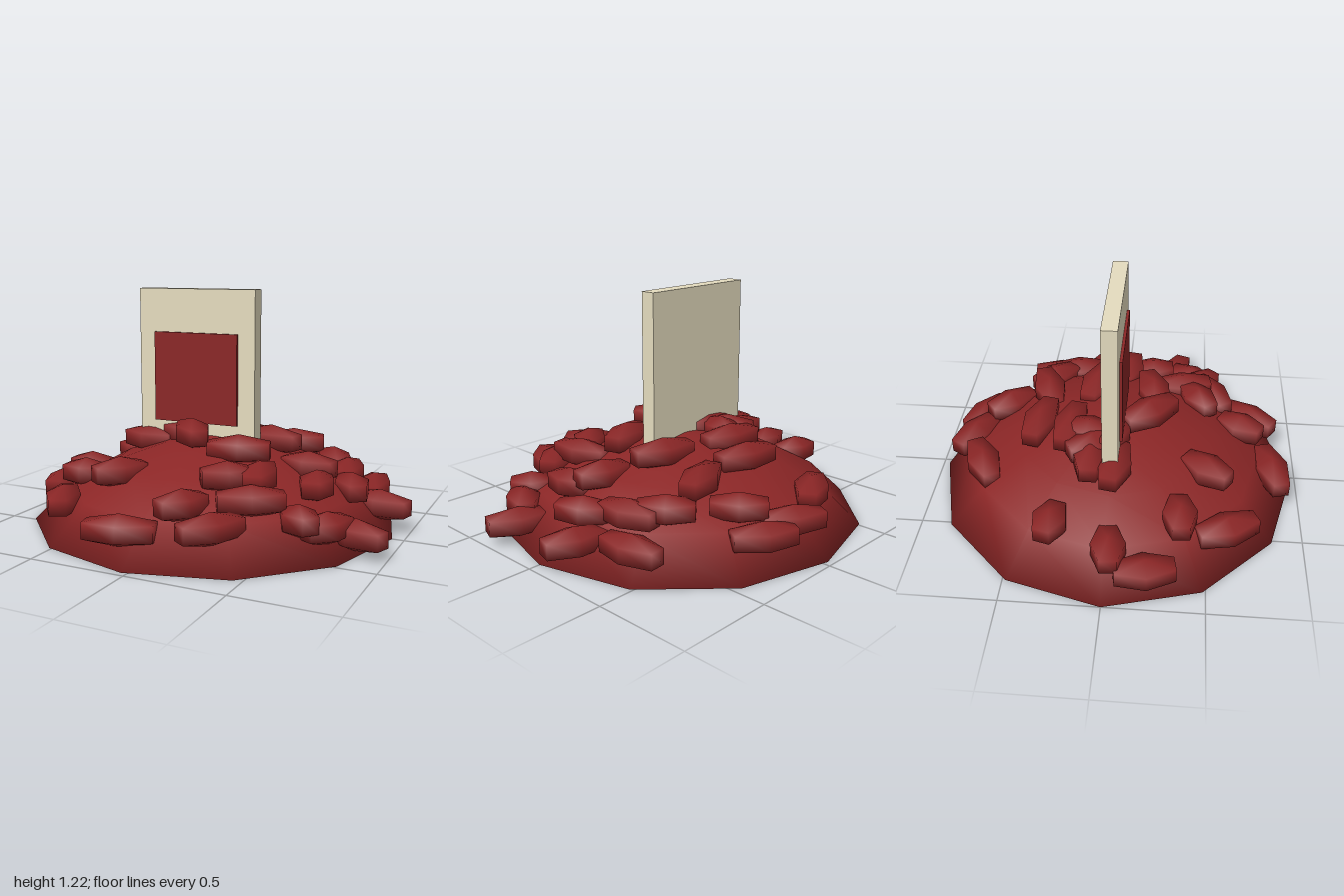
import * as THREE from 'three';

const red = new THREE.MeshStandardMaterial({ color: 0x8b2626 });
red.name = 'dark red';
const cream = new THREE.MeshStandardMaterial({ color: 0xe5dcbf });
cream.name = 'cream';

// x, z, heading in degrees, length, optional lift
const BEANS = [
  [-0.26, -0.70, -28, 0.32], [0.03, -0.80, 30, 0.32], [0.24, -0.79, 30, 0.32],
  [0.23, -0.63, 50, 0.28], [-0.08, -0.41, 12, 0.34], [0.26, -0.41, -20, 0.34],
  [0.50, -0.41, 50, 0.28], [0.62, -0.28, 80, 0.30], [0.73, -0.41, 85, 0.32],
  [0.84, -0.14, 15, 0.31], [0.71, -0.06, 60, 0.27], [0.51, 0.03, 10, 0.28],
  [0.60, 0.17, 85, 0.24], [0.37, 0.35, 80, 0.32], [0.19, 0.19, -18, 0.32],
  [-0.08, 0.18, 50, 0.32, 0.04], [-0.16, -0.235, 10, 0.33], [0.24, -0.13, 15, 0.33],
  [-0.69, -0.28, 15, 0.22], [-0.81, 0.02, -5, 0.24], [-0.88, 0.20, 80, 0.30],
  [-0.62, 0.36, -5, 0.24], [-0.33, 0.49, -55, 0.27], [-0.60, 0.60, 65, 0.32],
  [-0.11, 0.85, -15, 0.34], [0.12, 0.68, -60, 0.25], [0.30, 0.74, -55, 0.32],
  [0.40, 0.52, -30, 0.32], [0.24, 0.44, -35, 0.25], [0.62, 0.47, 40, 0.22],
  [0.73, 0.40, -60, 0.26], [0.84, 0.30, 20, 0.31],
  // Cluster around the foot of the card
  [-0.38, -0.11, 0, 0.28], [-0.21, -0.13, -75, 0.28],
  [-0.42, 0.02, 10, 0.30], [-0.30, -0.10, 60, 0.28], [-0.22, 0.0, 8, 0.27],
];

// Twelve-sided mound: flat underside and a shallow dome, shaded smoothly over the rim
function moundGeometry() {
  const profile = [[0, 0], [0.97, 0], [0.775, 0.185], [0.535, 0.315], [0.272, 0.405], [0, 0.45]]
    .map(([r, y]) => new THREE.Vector2(r, y));
  const g = new THREE.LatheGeometry(profile, 12);
  const p = g.attributes.position;
  for (let i = 0; i < p.count; i++) {
    const r = Math.hypot(p.getX(i), p.getZ(i));
    if (r > 0.9) g.attributes.normal.setXYZ(i, 0.95 * p.getX(i) / r, -0.31, 0.95 * p.getZ(i) / r);
  }
  return g;
}

export function createModel() {
  const model = new THREE.Group();
  const add = (parent, geo, mat, name, x, y, z) => {
    const m = new THREE.Mesh(geo, mat);
    m.name = name;
    m.position.set(x, y, z);
    parent.add(m);
    return m;
  };

  add(model, moundGeometry(), red, 'mound', -0.03, 0, 0);

  // Low-poly beans scattered over the mound, following its height
  const beans = new THREE.Group();
  beans.name = 'beans';
  model.add(beans);
  const beanGeo = new THREE.SphereGeometry(1, 6, 3).rotateY(Math.PI / 6).scale(0.667, 0.08, 0.1);
  for (const [x, z, deg, length, lift = 0] of BEANS) {
    const r2 = (x + 0.03) ** 2 + z * z;
    const bean = add(beans, beanGeo, red, 'bean', x, 0.455 - 0.42 * r2 + lift, z);
    bean.rotation.y = -deg * Math.PI / 180;
    bean.scale.x = length;
  }

  // Upright card standing in the mound, with a coloured panel on its front
  add(model, new THREE.BoxGeometry(0.675, 1.21, 0.08), cream, 'card', -0.1275, 0.612, 0);
  add(model, new THREE.BoxGeometry(0.485, 0.48, 0.015), red, 'cardPanel', -0.1275, 0.747, 0.0475);
  return model;
}
